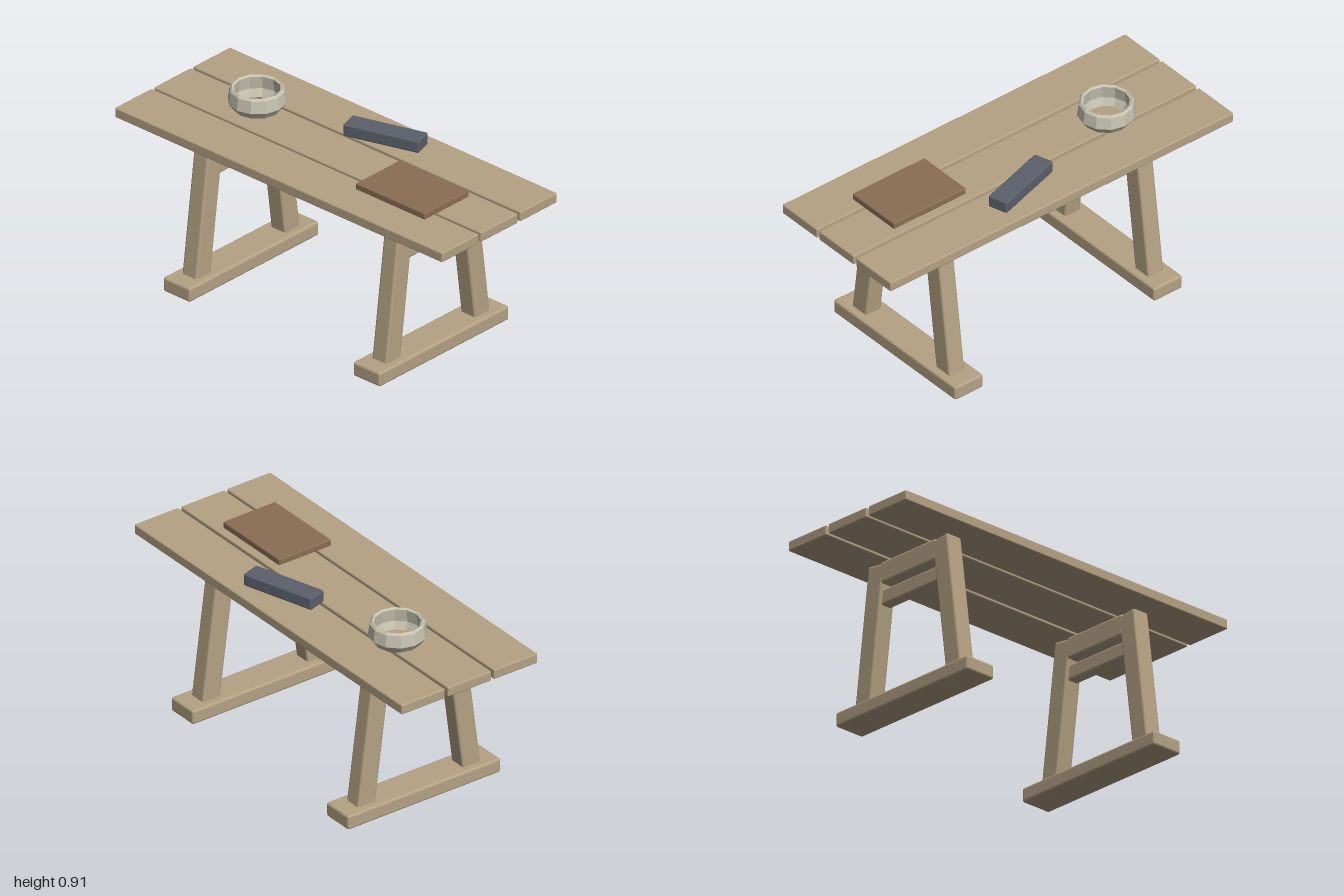
import * as THREE from 'three';
import { RoundedBoxGeometry } from 'three/addons/geometries/RoundedBoxGeometry.js';

const paint = (color) => new THREE.MeshStandardMaterial({ color });

// Box with softened edges, placed by its centre
function block(name, size, position, material, bevel = 0.01) {
  const mesh = new THREE.Mesh(new RoundedBoxGeometry(...size, 2, bevel), material);
  mesh.name = name;
  mesh.position.set(...position);
  return mesh;
}

export function createModel() {
  const model = new THREE.Group();
  model.name = 'workTable';
  const wood = paint(0xb5a284);

  // Table top: three long planks with narrow gaps
  const top = new THREE.Group();
  top.name = 'tableTop';
  for (const z of [-0.26, 0.001, 0.26]) {
    top.add(block('plank', [2, 0.05, 0.245], [0, 0.777, z], wood, 0.007));
  }
  model.add(top);

  // Two trestles, each with a foot, leaning legs and two cross rails
  for (const x of [-0.58, 0.58]) {
    const trestle = new THREE.Group();
    trestle.name = x > 0 ? 'leftTrestle' : 'rightTrestle';
    trestle.position.x = x;
    trestle.add(block('foot', [0.165, 0.072, 0.86], [0, 0.041, 0], wood, 0.012));
    for (const side of [-1, 1]) {
      const leg = block('leg', [0.09, 0.747, 0.1], [0, 0.377, side * 0.256], wood, 0.012);
      leg.rotation.x = -side * 0.129;
      trestle.add(leg);
    }
    trestle.add(block('topRail', [0.09, 0.105, 0.36], [0, 0.698, 0], wood, 0.012));
    trestle.add(block('lowerRail', [0.06, 0.074, 0.39], [0, 0.583, 0], wood, 0.01));
    model.add(trestle);
  }

  // Faceted ring-shaped bowl
  const profile = [
    [0.098, 0], [0.108, 0], [0.135, 0.037], [0.127, 0.096], [0.117, 0.106],
    [0.106, 0.1], [0.114, 0.037], [0.098, 0],
  ].map(([r, y]) => new THREE.Vector2(r, y));
  const bowlMaterial = paint(0xc6c2b0);
  bowlMaterial.flatShading = true;
  bowlMaterial.side = THREE.DoubleSide;
  const bowl = new THREE.Mesh(new THREE.LatheGeometry(profile, 12), bowlMaterial);
  bowl.name = 'bowl';
  bowl.position.set(-0.53, 0.802, -0.053);
  model.add(bowl);

  // Sharpening block, turned on the table
  const stone = block('stoneBlock', [0.378, 0.062, 0.1], [0.104, 0.835, -0.216], paint(0x5a606b), 0.009);
  stone.rotation.y = 0.295;
  model.add(stone);

  // Flat cutting board
  model.add(block('board', [0.42, 0.032, 0.294], [0.524, 0.819, 0.063], paint(0x8b6e55), 0.005));

  return model;
}
